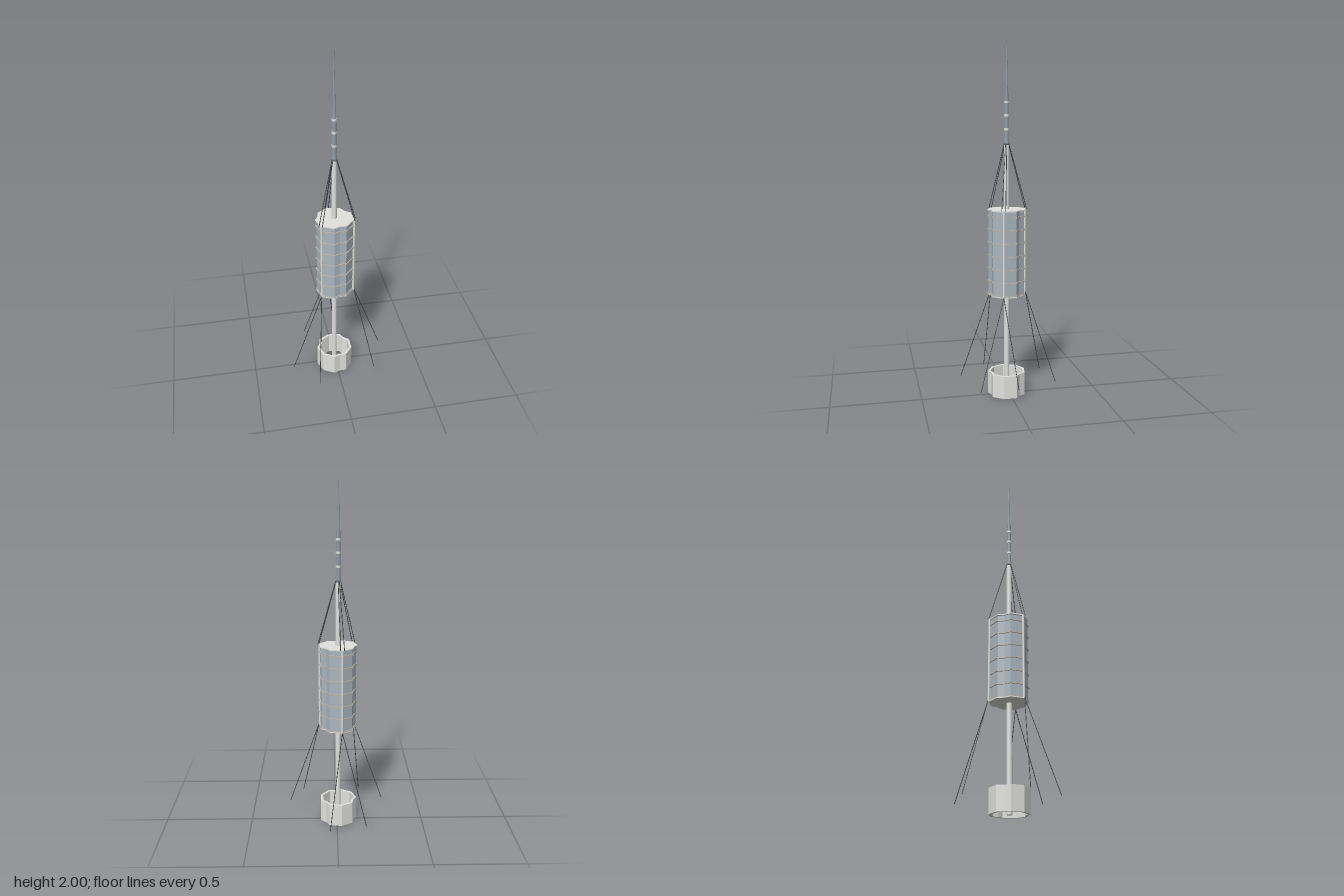
import * as THREE from 'three';

const CX = -0.008, CZ = 0.013;          // mast axis
const ANCHORS = [19.3, 139.3, 259.3];   // cable corners, degrees from +x towards +z
const rad = THREE.MathUtils.degToRad;

function material(name, color) {
  const m = new THREE.MeshStandardMaterial({ color });
  m.name = name;
  return m;
}

// Three-lobed plan: a corner at each anchor, a shallow notch between corners
function planPoints(scale, cornerRadius) {
  const pts = [];
  for (const a of ANCHORS) {
    for (const [da, r] of [[0, cornerRadius], [39.5, 0.107], [60, 0.093], [80.5, 0.107]]) {
      const t = rad(a + da);
      pts.push(new THREE.Vector2(Math.cos(t) * r * scale, -Math.sin(t) * r * scale));
    }
  }
  return pts.reverse();
}

// Upright prism of the plan, standing on y = 0
function prism(scale, height, cornerRadius = 0.112, holeScale = 0) {
  const shape = new THREE.Shape(planPoints(scale, cornerRadius));
  if (holeScale) shape.holes.push(new THREE.Path(planPoints(holeScale, cornerRadius)));
  return new THREE.ExtrudeGeometry(shape, { depth: height, bevelEnabled: false }).rotateX(-Math.PI / 2);
}

export function createModel() {
  const concrete = material('concrete', 0xe1e1de);
  const glass = material('blue grey panels', 0xacb7bf);
  const trim = material('warm grey trim', 0xb8b4ac);
  const steel = material('mast steel', 0x929ca5);
  const cable = material('dark cable', 0x3a3f44);

  const tower = new THREE.Group();
  tower.name = 'tower';

  function add(name, geometry, mat, y = 0, x = CX, z = CZ) {
    const mesh = new THREE.Mesh(geometry, mat);
    mesh.name = name;
    mesh.position.set(x, y, z);
    tower.add(mesh);
    return mesh;
  }

  function rod(name, a, b, r) {
    const dir = b.clone().sub(a);
    const mid = a.clone().add(b).multiplyScalar(0.5);
    const mesh = add(name, new THREE.CylinderGeometry(r, r, dir.length(), 6), cable, mid.y, mid.x, mid.z);
    mesh.quaternion.setFromUnitVectors(new THREE.Vector3(0, 1, 0), dir.normalize());
  }

  // Hollow base and shaft
  add('base', prism(1, 0.13, 0.107, 0.87), concrete);
  add('shaft', new THREE.CylinderGeometry(0.0145, 0.0145, 1.42, 20), concrete, 0.71);

  // Equipment drum with floor, roof and ledges
  add('drum', prism(0.94, 0.47), glass, 0.584);
  add('drumFloor', prism(1, 0.006), concrete, 0.579);
  add('drumRoof', prism(1, 0.006), concrete, 1.056);
  for (let i = 0; i < 7; i++) {
    add('ledge', prism(0.998, 0.008), trim, 0.582 + i * 0.073);
  }

  // Upper mast and tapering spire
  const profile = [
    [0, 1.415], [0.0155, 1.415], [0.0155, 1.43], [0.012, 1.45], [0.011, 1.69],
    [0.0075, 1.70], [0.003, 1.94], [0.002, 1.95], [0.0012, 2], [0, 2],
  ].map(([r, y]) => new THREE.Vector2(r, y));
  add('upperMast', new THREE.LatheGeometry(profile, 16), steel);
  for (const y of [1.5, 1.575, 1.645]) {
    add('mastCollar', new THREE.CylinderGeometry(0.0135, 0.0135, 0.012, 16), concrete, y);
  }

  // Corner posts and stays
  const polar = (a, r, y, side = 0) => new THREE.Vector3(
    CX + Math.cos(a) * r - Math.sin(a) * side, y, CZ + Math.sin(a) * r + Math.cos(a) * side);
  const feet = [
    [[0.271, 0.12, 0.004], [0.2, 0.093, 0.198]],
    [[-0.271, 0.08, 0.1], [-0.139, 0.07, 0.259]],
    [[-0.163, 0.07, -0.22], [0.041, 0.06, -0.262]],
  ];
  ANCHORS.forEach((deg, i) => {
    const a = rad(deg);
    const post = polar(a, 0.111, 0.82);
    add('cornerPost', new THREE.CylinderGeometry(0.006, 0.006, 0.482, 10), concrete, post.y, post.x, post.z);
    for (const side of [-1, 1]) {
      rod('upperStay', polar(a, 0.012, 1.425, side * 0.003), polar(a, 0.116, 1.06, side * 0.011), 0.002);
    }
    // Lower stays splay out to the ground
    for (const foot of feet[i]) {
      rod('lowerStay', polar(a, 0.115, 0.585), new THREE.Vector3(...foot), 0.002);
    }
  });

  return tower;
}
